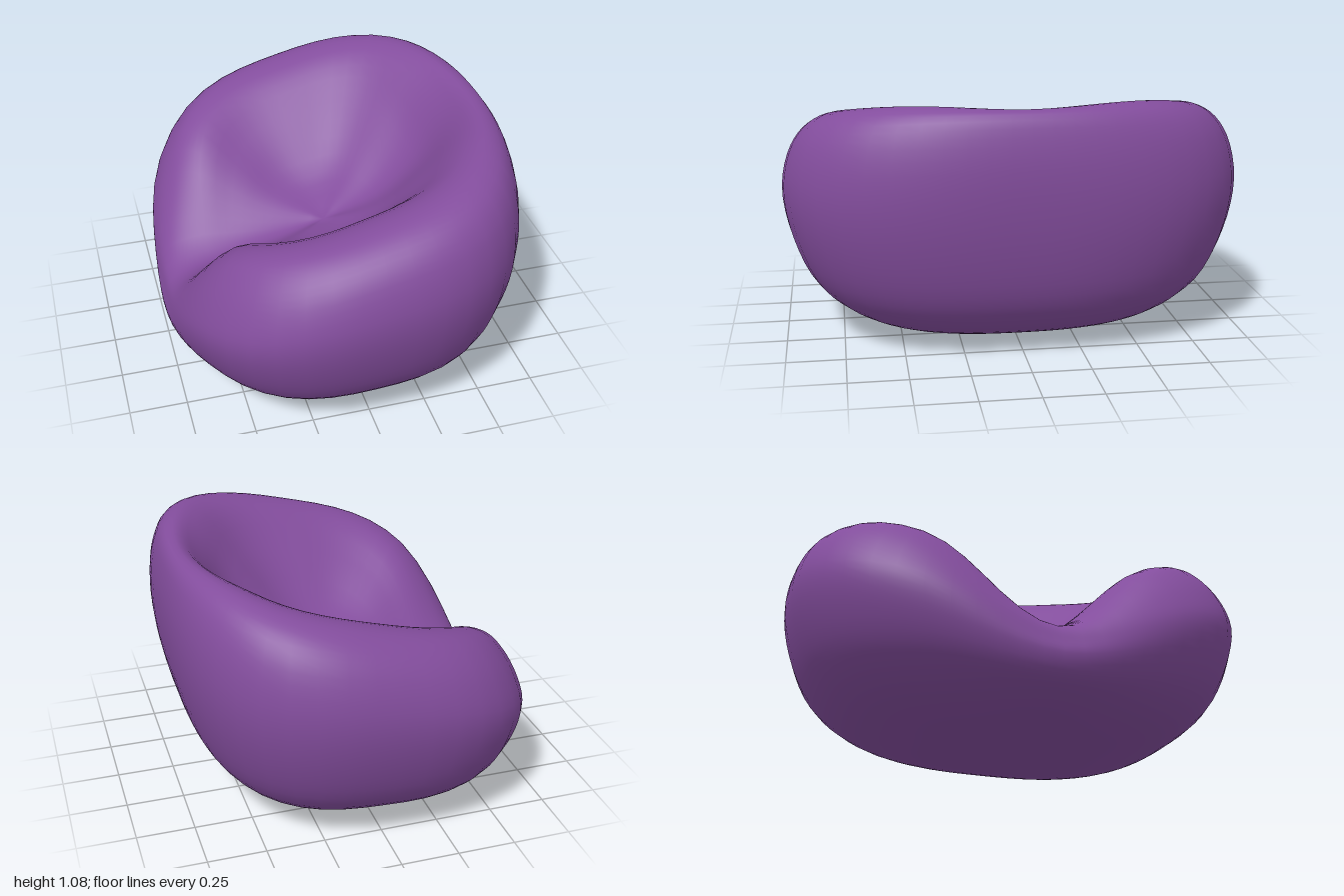
import * as THREE from 'three';
import { mergeVertices } from 'three/addons/utils/BufferGeometryUtils.js';

// Half sections from the base centre, up the outside, over the rim and down to the seat centre.
// Each pair is [fraction of the plan outline, height]; ordered from the back (+x) round to the front (-x).
const SECTIONS = [
  // back
  [[0, 0], [.24, .003], [.5, .035], [.7, .11], [.86, .25], [.955, .47], [1, .74],
    [.985, .94], [.93, 1.06], [.85, 1.07], [.73, .97], [.56, .77], [.32, .6], [0, .5]],
  // back corner
  [[0, 0], [.24, .003], [.5, .035], [.7, .11], [.86, .25], [.96, .47], [1, .71],
    [.97, .92], [.9, 1.035], [.8, 1.073], [.68, 1.03], [.5, .85], [.27, .63], [0, .5]],
  // arm
  [[0, 0], [.25, .003], [.5, .035], [.71, .1], [.87, .23], [.965, .43], [1, .65],
    [.955, .82], [.88, .91], [.78, .95], [.65, .925], [.48, .79], [.25, .58], [0, .5]],
  // front corner
  [[0, 0], [.25, .003], [.52, .022], [.73, .075], [.88, .18], [.97, .33], [1, .47],
    [.96, .59], [.89, .69], [.81, .75], [.69, .755], [.5, .65], [.27, .535], [0, .5]],
  // front lip
  [[0, 0], [.3, .003], [.58, .015], [.8, .04], [.95, .09], [1, .17], [.985, .23],
    [.96, .28], [.91, .315], [.82, .345], [.7, .37], [.53, .4], [.3, .44], [0, .5]],
];

// Rounded-rectangle plan outline
function outline(angle) {
  const n = 2.75;
  const sum = Math.abs(Math.cos(angle) / 0.76) ** n + Math.abs(Math.sin(angle)) ** n;
  return sum ** (-1 / n);
}

function cubic(a, b, c, d, t) {
  return b + 0.5 * t * (c - a + t * (2 * a - 5 * b + 4 * c - d + t * (3 * (b - c) + d - a)));
}

// Blend the sections smoothly; front and back mirror at the ends
function sectionAt(angle) {
  const last = SECTIONS.length - 1;
  const u = Math.acos(THREE.MathUtils.clamp(Math.cos(angle), -1, 1)) / Math.PI * last;
  const i = Math.min(Math.floor(u), last - 1);
  const pick = (k) => SECTIONS[k < 0 ? -k : k > last ? 2 * last - k : k];
  const [a, b, c, d] = [pick(i - 1), pick(i), pick(i + 1), pick(i + 2)];
  const radius = outline(angle);
  return new THREE.CatmullRomCurve3(b.map((_, k) => new THREE.Vector3(
    radius * cubic(a[k][0], b[k][0], c[k][0], d[k][0], u - i),
    cubic(a[k][1], b[k][1], c[k][1], d[k][1], u - i),
    0,
  )));
}

function cushionGeometry(around = 56, along = 52) {
  const positions = [];
  const indices = [];
  for (let i = 0; i < around; i++) {
    const angle = (i / around) * Math.PI * 2;
    const curve = sectionAt(angle);
    for (let j = 0; j <= along; j++) {
      const p = curve.getPoint(j / along);
      const r = j === 0 || j === along ? 0 : p.x;
      positions.push(r * Math.cos(angle), Math.max(p.y, 0), r * Math.sin(angle));
    }
  }
  const at = (i, j) => (i % around) * (along + 1) + j;
  for (let i = 0; i < around; i++) {
    for (let j = 0; j < along; j++) {
      const a = at(i, j), b = at(i, j + 1), c = at(i + 1, j + 1), d = at(i + 1, j);
      if (j < along - 1) indices.push(a, b, c);
      else indices.push(a, b, d);
      if (j > 0 && j < along - 1) indices.push(a, c, d);
    }
  }
  const grid = new THREE.BufferGeometry();
  grid.setAttribute('position', new THREE.Float32BufferAttribute(positions, 3));
  grid.setIndex(indices);
  const geometry = mergeVertices(grid);
  geometry.computeVertexNormals();
  return geometry;
}

export function createModel() {
  const group = new THREE.Group();
  group.name = 'beanBagChair';
  const purple = new THREE.MeshStandardMaterial({ color: 0x834d9d });
  purple.name = 'purple fabric';

  // Soft one-piece body: base, arms, backrest and hollow seat
  const cushion = new THREE.Mesh(cushionGeometry(), purple);
  cushion.name = 'cushionBody';
  group.add(cushion);
  return group;
}
